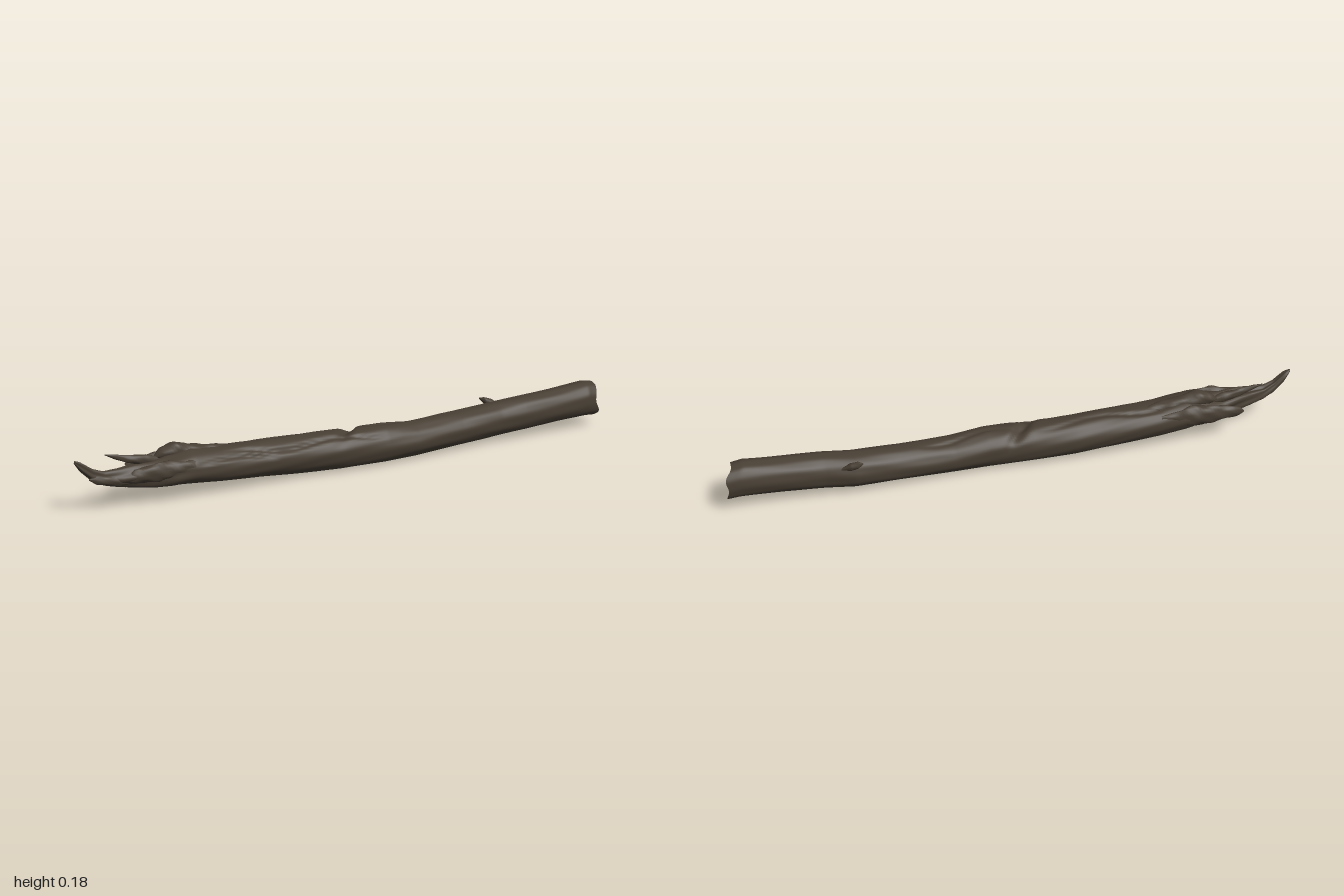
import * as THREE from 'three';

const TAU = Math.PI * 2;
const gauss = (d, w) => Math.exp(-(d * d) / (w * w));
const wrap = (a) => Math.atan2(Math.sin(a), Math.cos(a));

// Cross-section at x, from stations [x, bottom, top, back, front]
function sectionAt(stations, x) {
  let i = 0;
  while (i < stations.length - 2 && x > stations[i + 1][0]) i++;
  const a = stations[i], b = stations[i + 1];
  const t = THREE.MathUtils.clamp((x - a[0]) / (b[0] - a[0]), 0, 1);
  return a.map((v, k) => THREE.MathUtils.lerp(v, b[k], t));
}

// Point on the section outline; angle 0 is up, a quarter turn is the front
function outline(stations, x, a, relief, scale = 1) {
  const [, y0, y1, z0, z1] = sectionAt(stations, x);
  const r = (1 + relief(x, a)) * scale;
  return [x, (y0 + y1) / 2 + Math.cos(a) * r * (y1 - y0) / 2, (z0 + z1) / 2 + Math.sin(a) * r * (z1 - z0) / 2];
}

// Skin a grid of rings; the last edge wraps round to the first
function skin(name, rings, material) {
  const n = rings[0].length, index = [];
  for (let i = 0; i < rings.length - 1; i++) {
    for (let j = 0; j < n; j++) {
      const k = (j + 1) % n, p = i * n, q = p + n;
      index.push(p + j, p + k, q + k, p + j, q + k, q + j);
    }
  }
  const geometry = new THREE.BufferGeometry();
  geometry.setAttribute('position', new THREE.Float32BufferAttribute(rings.flat(2), 3));
  geometry.setIndex(index);
  geometry.computeVertexNormals();
  const mesh = new THREE.Mesh(geometry, material);
  mesh.name = name;
  return mesh;
}

function ringSet(stations, count, sides, relief, bend = (p) => p) {
  const x0 = stations[0][0], x1 = stations[stations.length - 1][0];
  return Array.from({ length: count + 1 }, (_, i) =>
    Array.from({ length: sides }, (_, j) =>
      bend(outline(stations, x0 + (x1 - x0) * i / count, j / sides * TAU, relief))));
}

// Long trunk, tapering to a torn tongue at -x
const trunk = [
  [-1.0, 0.18, 0.19, 0.002, 0.01], [-0.98, 0.15, 0.185, -0.008, 0.017], [-0.94, 0.11, 0.155, -0.012, 0.018],
  [-0.9, 0.09, 0.138, -0.018, 0.022], [-0.85, 0.078, 0.14, -0.025, 0.035], [-0.8, 0.07, 0.145, -0.035, 0.043],
  [-0.74, 0.06, 0.145, -0.045, 0.05], [-0.68, 0.052, 0.155, -0.07, 0.063], [-0.6, 0.045, 0.16, -0.085, 0.067],
  [-0.5, 0.035, 0.15, -0.084, 0.066], [-0.35, 0.023, 0.146, -0.08, 0.064], [-0.2, 0.012, 0.141, -0.076, 0.066],
  [-0.07, 0.007, 0.138, -0.066, 0.076], [0.1, 0.006, 0.138, -0.055, 0.084], [0.22, 0.009, 0.127, -0.055, 0.083],
  [0.4, 0.016, 0.131, -0.056, 0.072], [0.56, 0.022, 0.14, -0.059, 0.066], [0.66, 0.028, 0.149, -0.046, 0.07],
  [0.8, 0.038, 0.158, -0.042, 0.073], [0.93, 0.043, 0.168, -0.038, 0.075], [0.97, 0.04, 0.162, -0.036, 0.072],
];

// Wood grain, cracks, the notch at the middle and the torn hollow
function barkRelief(x, a) {
  let r = 0.022 * Math.sin(3 * a + 2.5 * Math.sin(3.1 * x)) * Math.sin(6 * x + a)
    + 0.014 * Math.sin(9 * a + 3 * Math.sin(4 * x + 1)) * Math.sin(13 * x + 2 * a);
  const cracks = [[-0.75, -0.05, -0.35], [-0.55, 0.15, 0.75], [0, 0.35, -0.2], [-0.62, -0.3, 1.1]];
  for (const [from, to, angle] of cracks) {
    const t = (x - from) / (to - from);
    if (t > 0 && t < 1) {
      r -= 0.11 * Math.sin(Math.PI * t) * gauss(wrap(a - angle - 0.18 * Math.sin(17 * x)), 0.11);
    }
  }
  const w = wrap(a + 0.2);
  r -= 0.3 * gauss(x + 0.02 + 0.05 * w, 0.022) * gauss(w, 0.75);
  const torn = THREE.MathUtils.smoothstep(-x, 0.6, 0.74);
  r -= torn * (0.28 * gauss(wrap(a + 0.3), 0.45) + 0.1 * Math.sin(5 * a + 19 * x));
  return r;
}

// Slanting, ragged break at +x
function slant([x, y, z]) {
  const k = THREE.MathUtils.smoothstep(x, 0.86, 0.97);
  const ragged = 0.006 * Math.sin(70 * y + 50 * z) - 0.1 * (y - 0.1);
  return [x + k * (ragged - 0.32 * (z - 0.018)), y, z];
}

export function createModel() {
  const group = new THREE.Group();
  const bark = new THREE.MeshStandardMaterial({ color: 0x483f34 });
  bark.name = 'dark bark';

  group.add(skin('trunk', ringSet(trunk, 260, 64, barkRelief, slant), bark));

  // Broken end face, rings shrinking to the middle with a shallow dip
  const endRings = [1, 0.93, 0.75, 0.5, 0.25, 0.001].map((s, i) =>
    Array.from({ length: 64 }, (_, j) => {
      const a = j / 64 * TAU;
      const p = slant(outline(trunk, 0.97, a, barkRelief, s));
      p[0] += i === 0 ? 0 : -0.006 + 0.005 * Math.sin(2 * a + 4 * s) * s;
      return p;
    }));
  group.add(skin('brokenEnd', endRings, bark));

  // Torn strips and splinters, each a flattened tapering loft
  const splinters = {
    backStrip: [[-0.795, 0.108, 0.114, -0.088, -0.078], [-0.78, 0.095, 0.13, -0.091, -0.07],
      [-0.72, 0.085, 0.138, -0.09, -0.062], [-0.62, 0.07, 0.15, -0.088, -0.04], [-0.5, 0.1, 0.13, -0.075, -0.06]],
    topRidge: [[-0.715, 0.14, 0.145, -0.035, -0.025], [-0.695, 0.135, 0.166, -0.05, -0.012],
      [-0.645, 0.125, 0.186, -0.055, 0.002], [-0.6, 0.125, 0.17, -0.05, 0.005],
      [-0.5, 0.125, 0.155, -0.04, 0.0], [-0.42, 0.135, 0.14, -0.03, -0.01]],
    thinSpike: [[-0.88, 0.174, 0.177, -0.04, -0.036], [-0.85, 0.158, 0.174, -0.038, -0.027],
      [-0.81, 0.14, 0.165, -0.035, -0.018], [-0.74, 0.12, 0.158, -0.04, -0.01], [-0.68, 0.13, 0.135, -0.03, -0.02]],
    frontStrip: [[-0.84, 0.1, 0.104, 0.028, 0.034], [-0.81, 0.088, 0.132, 0.018, 0.045],
      [-0.72, 0.085, 0.148, 0.022, 0.058], [-0.62, 0.09, 0.14, 0.03, 0.064], [-0.52, 0.1, 0.11, 0.045, 0.055]],
    tongueSplinter: [[-0.955, 0.118, 0.122, 0.012, 0.016], [-0.93, 0.1, 0.128, 0.006, 0.024],
      [-0.86, 0.085, 0.12, 0.01, 0.035], [-0.78, 0.09, 0.1, 0.02, 0.03]],
    knotStub: [[0.54, 0.137, 0.14, -0.069, -0.066], [0.555, 0.118, 0.142, -0.067, -0.045],
      [0.58, 0.11, 0.135, -0.062, -0.035], [0.61, 0.11, 0.115, -0.045, -0.04]],
  };
  const roughness = (x, a) => 0.07 * Math.sin(3 * a + 60 * x) + 0.05 * Math.sin(5 * a - 95 * x);
  for (const [name, stations] of Object.entries(splinters)) {
    group.add(skin(name, ringSet(stations, 28, 16, roughness), bark));
  }
  return group;
}
